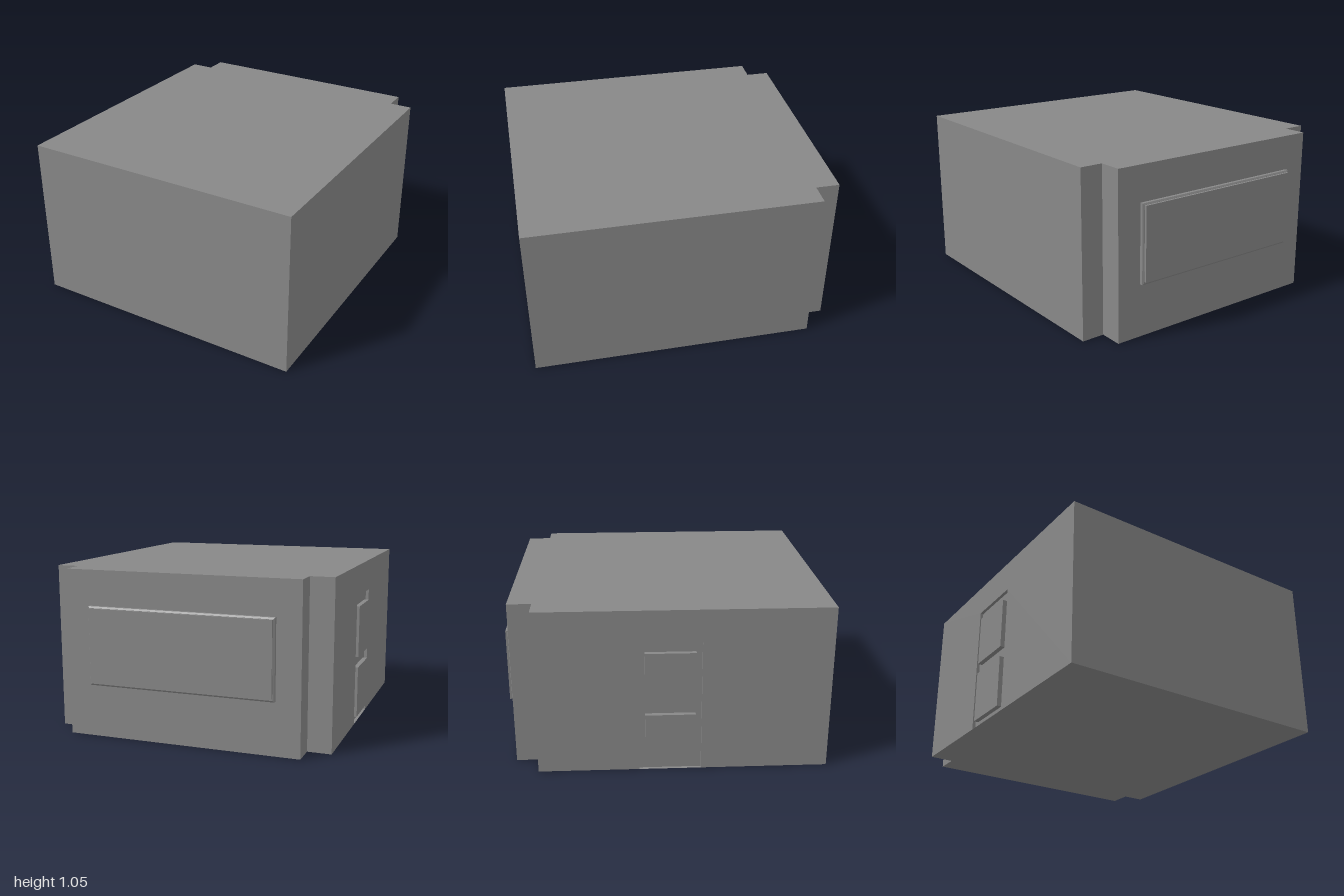
import * as THREE from 'three';
import { mergeGeometries } from 'three/addons/utils/BufferGeometryUtils.js';

const material = new THREE.MeshStandardMaterial({ color: 0x888888, flatShading: true });

const HEIGHT = 1.055;
const DOOR = { back: -0.18, front: 0.205, height: 0.85, depth: 0.02 };

// Plan corners (x, z), anticlockwise from above; the last wall holds the doorway
const PLAN = [
  [-0.9, 1], [0.908, 1], [0.908, -0.81], [0.762, -0.81],
  [0.762, -0.96], [-0.75, -0.96], [-0.75, -0.81], [-0.9, -0.81],
];

function addMesh(parent, name, geometry) {
  const mesh = new THREE.Mesh(geometry, material);
  mesh.name = name;
  parent.add(mesh);
  return mesh;
}

function flat(points) {
  return new THREE.ShapeGeometry(new THREE.Shape(points.map(([x, y]) => new THREE.Vector2(x, y))));
}

// Floor, roof and one wall per side of the plan
function buildingGeometry() {
  const floor = flat(PLAN).rotateX(Math.PI / 2);
  const roof = flat(PLAN.map(([x, z]) => [x, -z])).rotateX(-Math.PI / 2).translate(0, HEIGHT, 0);
  const walls = PLAN.map(([ax, az], i) => {
    const [bx, bz] = PLAN[(i + 1) % PLAN.length];
    const length = Math.hypot(bx - ax, bz - az);
    const doorway = i === PLAN.length - 1 ? [
      [DOOR.back - az, 0], [DOOR.back - az, DOOR.height],
      [DOOR.front - az, DOOR.height], [DOOR.front - az, 0],
    ] : [];
    return flat([[0, 0], ...doorway, [length, 0], [length, HEIGHT], [0, HEIGHT]])
      .rotateY(Math.atan2(az - bz, bx - ax))
      .translate(ax, 0, az);
  });
  return mergeGeometries([floor, roof, ...walls]);
}

// Inside-out box without its +z side
function recess(w, h, depth) {
  const geometry = new THREE.BoxGeometry(w, h, depth);
  const kept = [...geometry.index.array].filter((_, i) => i < 24 || i >= 30);
  geometry.setIndex(kept.reverse());
  geometry.translate(0, h / 2, -depth / 2);
  geometry.computeVertexNormals();
  return geometry;
}

// Slab rising along +z from z0 to z1, its front edge drawn in by inset
function slab(w, h, z0, z1, inset = 0) {
  const geometry = new THREE.BoxGeometry(w, h, z1 - z0);
  const pos = geometry.attributes.position;
  for (let i = 0; i < pos.count; i++) {
    if (pos.getZ(i) > 0) {
      pos.setX(i, pos.getX(i) - Math.sign(pos.getX(i)) * inset);
      pos.setY(i, pos.getY(i) - Math.sign(pos.getY(i)) * inset);
    }
  }
  geometry.translate(0, 0, (z0 + z1) / 2);
  geometry.computeVertexNormals();
  return geometry;
}

export function createModel() {
  const model = new THREE.Group();
  addMesh(model, 'building', buildingGeometry());

  // Stepped window on the back wall, its sill a little deeper than its head
  const rearWindow = new THREE.Group();
  rearWindow.name = 'rearWindow';
  rearWindow.position.set(0.004, 0.583, -0.96);
  rearWindow.rotation.y = Math.PI;
  addMesh(rearWindow, 'windowFrame', slab(1.2, 0.498, -0.01, 0.02));
  addMesh(rearWindow, 'windowBevel', slab(1.2, 0.498, 0.02, 0.026, 0.01));
  addMesh(rearWindow, 'windowPane', slab(1.176, 0.466, 0.026, 0.04)).position.y = 0.005;
  model.add(rearWindow);

  // Door set back in the right wall, with two panels standing just proud of it
  const door = new THREE.Group();
  door.name = 'door';
  door.position.set(-0.9, 0, (DOOR.back + DOOR.front) / 2);
  door.rotation.y = -Math.PI / 2;
  addMesh(door, 'doorRecess', recess(DOOR.front - DOOR.back, DOOR.height, DOOR.depth));
  for (const [name, y] of [['lowerPanel', 0.21], ['upperPanel', 0.617]]) {
    addMesh(door, name, slab(0.31, 0.337, -DOOR.depth, 0.01)).position.y = y;
  }
  model.add(door);

  return model;
}
